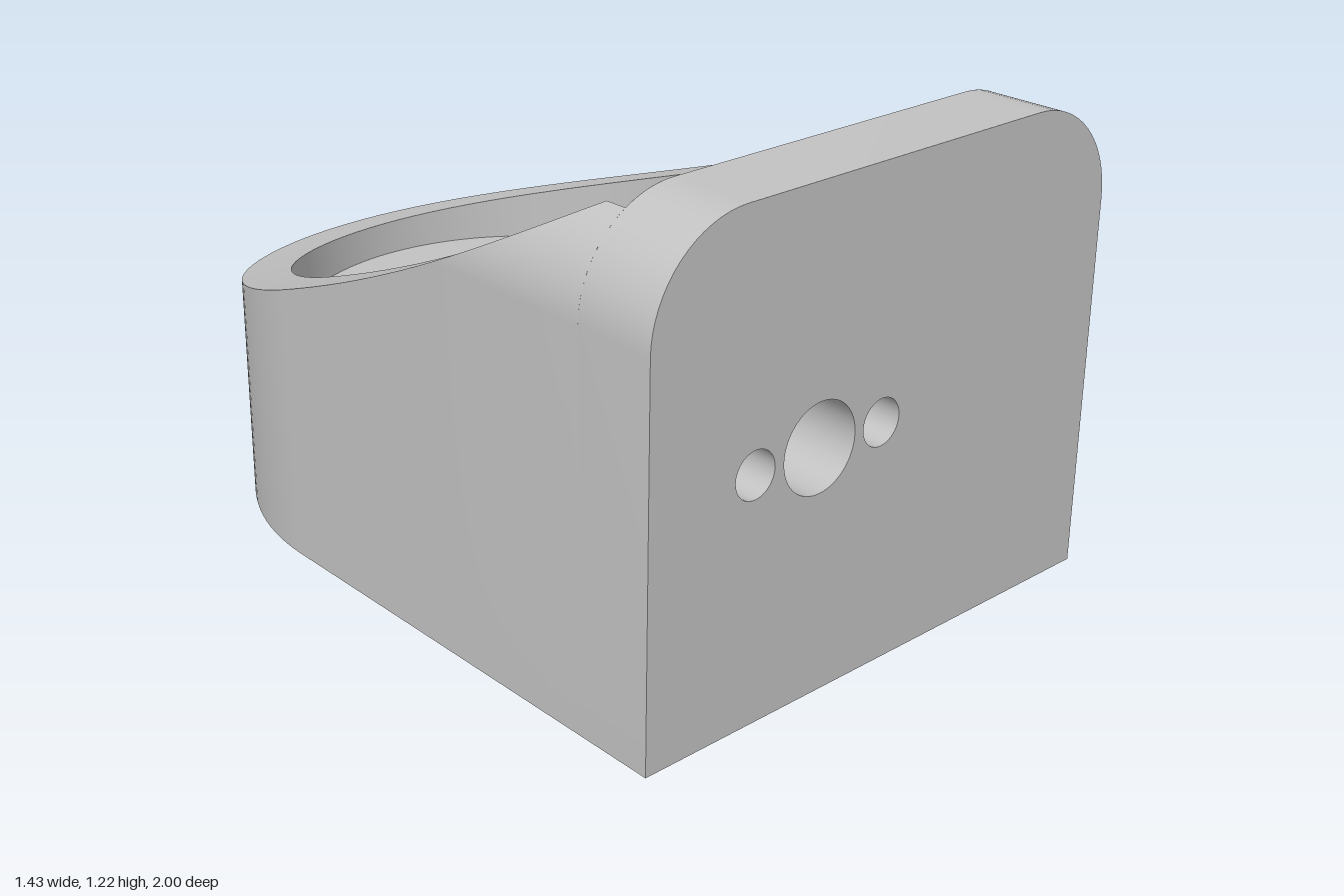
import * as THREE from 'three';
import { toCreasedNormals } from 'three/addons/utils/BufferGeometryUtils.js';

// Main dimensions
const W = 0.717, IN = 0.59;            // outer and cavity half widths
const ZC = -0.284;                     // centre of the round back end
const ZF = 0.785;                      // cavity side of the front wall
const TOP = 1.22, R = 0.26;            // front wall height and corner radius
const FLOOR = 0.46, BASE = 0.07;       // cavity floor, pocket floor
const PX = 0.283, PZ = 0.5;            // pocket half width and half length
const ARC_X = W - R, ARC_Y = TOP - R;
const A_IN = Math.acos((IN - ARC_X) / R); // corner angle reached at the cavity wall

const rimHeight = (z) => 0.825 + 0.41 * z + 0.1125 * z * z;

// Smooth sheet through rows of points
function sheet(rows) {
  const pos = [], idx = [], n = rows[0].length;
  rows.forEach((row) => row.forEach((p) => pos.push(...p)));
  for (let i = 0; i < rows.length - 1; i++) {
    for (let j = 0; j < n - 1; j++) {
      const a = i * n + j, b = a + n;
      idx.push(a, a + 1, b, a + 1, b + 1, b);
    }
  }
  const g = new THREE.BufferGeometry();
  g.setAttribute('position', new THREE.Float32BufferAttribute(pos, 3));
  g.setIndex(idx);
  return toCreasedNormals(g, 0.5);
}

// Flat plate from outline points, with round holes [x, y, r] and extra hole outlines
function plate(points, rounds = [], outlines = []) {
  const shape = new THREE.Shape(points.map(([x, y]) => new THREE.Vector2(x, y)));
  rounds.forEach(([x, y, r]) => shape.holes.push(new THREE.Path().absarc(x, y, r, 0, Math.PI * 2, true)));
  outlines.forEach((o) => shape.holes.push(new THREE.Path(o.map(([x, y]) => new THREE.Vector2(x, y)))));
  return new THREE.ShapeGeometry(shape, 24);
}

// Stations along the U-shaped wall: +x side, round back, -x side
function stations() {
  const side = [];
  const zs = [ZF, 0.755, 0.728];
  for (let i = 1; i <= 20; i++) zs.push(0.728 + (0.304 - 0.728) * i / 20);
  for (let i = 1; i < 10; i++) zs.push(0.304 + (ZC - 0.304) * i / 10);
  zs.forEach((z) => side.push({ z, c: 1, s: 0 }));
  const list = [...side];
  for (let i = 0; i <= 64; i++) {
    const t = Math.PI * i / 64;
    list.push({ z: ZC, c: Math.cos(t), s: -Math.sin(t) });
  }
  side.reverse().forEach((q) => list.push({ z: q.z, c: -1, s: 0 }));
  return list;
}

// U outline in (x, z)
function uOutline(r, zFront) {
  const pts = [[r, zFront]];
  for (let i = 0; i <= 64; i++) {
    const t = Math.PI * i / 64;
    pts.push([r * Math.cos(t), ZC - r * Math.sin(t)]);
  }
  pts.push([-r, zFront]);
  return pts;
}

// Front wall outline in (x, y), corners rounded from angle a0 up
function frontOutline(halfW, yBottom, a0) {
  const right = [[halfW, yBottom]];
  for (let i = 0; i <= 16; i++) {
    const a = a0 + (Math.PI / 2 - a0) * i / 16;
    right.push([ARC_X + R * Math.cos(a), ARC_Y + R * Math.sin(a)]);
  }
  return [...right, ...right.map(([x, y]) => [-x, y]).reverse()];
}

export function createModel() {
  const group = new THREE.Group();
  const grey = new THREE.MeshStandardMaterial({ color: 0xc2c2c2, side: THREE.DoubleSide });
  grey.name = 'grey plastic';
  const add = (name, geometry) => {
    const m = new THREE.Mesh(geometry, grey);
    m.name = name;
    group.add(m);
    return m;
  };
  const flip = (pts) => pts.map(([x, z]) => [x, -z]);

  // Sweep the wall section round the U
  const outer = [], rim = [], inner = [];
  for (const { z, c, s } of stations()) {
    const zo = z + W * s, zi = z + IN * s;
    const top = rimHeight(zo);
    const a = s !== 0 || top <= ARC_Y ? 0
      : Math.min(A_IN, Math.asin(Math.min(1, (top - ARC_Y) / R)));
    const row = [[W * c, 0, zo], [W * c, Math.min(top, ARC_Y), zo]];
    for (let k = 1; k <= 12; k++) {
      const t = a * k / 12;
      row.push([
        c * (a > 0 ? ARC_X + R * Math.cos(t) : W),
        a > 0 ? ARC_Y + R * Math.sin(t) : Math.min(top, ARC_Y), zo,
      ]);
    }
    const edge = row[row.length - 1];
    const yi = Math.min(rimHeight(zi), ARC_Y + R * Math.sin(A_IN));
    const lip = [IN * c, yi, zi];
    outer.push(row);
    rim.push([edge, lip]);
    inner.push([lip, [IN * c, FLOOR, zi]]);
  }
  add('outerWall', sheet(outer));
  add('slopedRim', sheet(rim));
  add('cavityWall', sheet(inner));

  // Front wall with three openings
  const ports = [[-0.415, 0.61, 0.058], [-0.22, 0.61, 0.11], [-0.025, 0.61, 0.058]];
  const frontPts = frontOutline(W, 0, 0);
  add('frontFace', plate(frontPts, ports)).position.z = 1;
  add('frontEdge', sheet([1, ZF].map((z) => frontPts.map(([x, y]) => [x, y, z]))));
  const innerFace = plate(frontOutline(IN, FLOOR, A_IN), ports.map(([x, y, r]) => [-x, y, r]));
  add('frontInnerFace', innerFace.rotateY(Math.PI)).position.z = ZF;
  ports.forEach(([x, y, r]) => {
    const g = new THREE.CylinderGeometry(r, r, 1 - ZF, 48, 1, true).rotateX(Math.PI / 2);
    add('portBore', g).position.set(x, y, (1 + ZF) / 2);
  });

  // Cavity floor with pocket opening and two screw holes
  const rect = [[-PX, -PZ], [PX, -PZ], [PX, PZ], [-PX, PZ]];
  const screws = [[0, 0.6, 0.045], [0, -0.6, 0.045]];
  add('cavityFloor', plate(flip(uOutline(IN, ZF)), screws, [rect]).rotateX(-Math.PI / 2)).position.y = FLOOR;
  const depth = 0.24;
  screws.forEach(([, z, r]) => {
    add('screwHole', new THREE.CylinderGeometry(r, r, depth, 48, 1, true)).position.set(0, FLOOR - depth / 2, z);
    add('screwHoleEnd', new THREE.CircleGeometry(r, 48).rotateX(-Math.PI / 2)).position.set(0, FLOOR - depth, z);
  });

  // Pocket with a round opening through the base
  const hz = -0.219, hr = 0.281;
  add('pocketWalls', sheet([FLOOR, BASE].map((y) => [...rect, rect[0]].map(([x, z]) => [x, y, z]))));
  add('pocketFloor', plate(rect, [[0, -hz, hr]]).rotateX(-Math.PI / 2)).position.y = BASE;
  add('baseBore', new THREE.CylinderGeometry(hr, hr, BASE, 48, 1, true)).position.set(0, BASE / 2, hz);
  add('underside', plate(uOutline(W, 1), [[0, hz, hr]]).rotateX(Math.PI / 2));

  return group;
}
